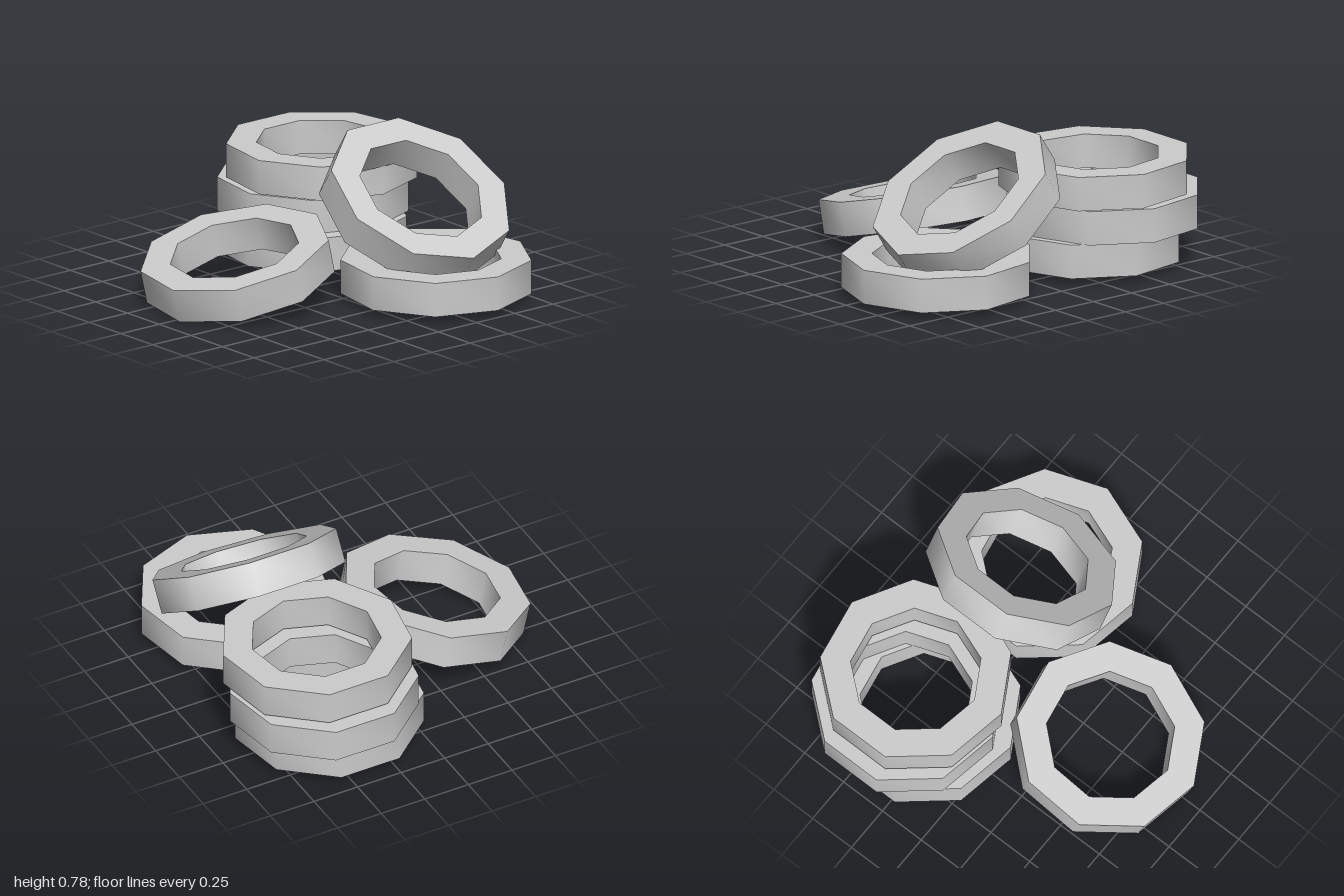
import * as THREE from 'three';
import { toCreasedNormals } from 'three/addons/utils/BufferGeometryUtils.js';

const SIDES = 9, OUTER = 0.489, INNER = 0.334, THICK = 0.177;

// Corners of a regular polygon with one corner on +x
function polygon(radius) {
  return Array.from({ length: SIDES }, (_, i) => {
    const a = (i / SIDES) * Math.PI * 2;
    return new THREE.Vector2(Math.cos(a) * radius, Math.sin(a) * radius);
  });
}

// Nine-sided ring lying flat, centred on its own origin, with smooth walls and sharp rims
function ringGeometry() {
  const shape = new THREE.Shape(polygon(OUTER));
  shape.holes.push(new THREE.Path(polygon(INNER)));
  const geometry = new THREE.ExtrudeGeometry(shape, { depth: THICK, bevelEnabled: false });
  geometry.translate(0, 0, -THICK / 2);
  geometry.rotateX(-Math.PI / 2);
  return toCreasedNormals(geometry, THREE.MathUtils.degToRad(50));
}

export function createModel() {
  const group = new THREE.Group();
  group.name = 'ringPile';
  const geometry = ringGeometry();
  const material = new THREE.MeshStandardMaterial({ color: 0xcccccc });

  // name, centre, tilt about x and z in degrees
  const rings = [
    ['stackBottomRing', [-0.475, 0.128, -0.39], 0, 0],
    ['stackMiddleRing', [-0.54, 0.305, -0.455], 0, 0],
    ['stackTopRing', [-0.47, 0.497, -0.455], 0, 0],
    ['flatRing', [0.511, 0.128, -0.39], 0, 0],
    ['leaningFrontRing', [-0.05, 0.2, 0.445], 13.3, 0],
    ['leaningUpperRing', [0.33, 0.457, -0.406], 0, -33.4],
  ];
  for (const [name, centre, tiltX, tiltZ] of rings) {
    const ring = new THREE.Mesh(geometry, material);
    ring.name = name;
    ring.position.set(...centre);
    ring.rotation.set(THREE.MathUtils.degToRad(tiltX), 0, THREE.MathUtils.degToRad(tiltZ));
    group.add(ring);
  }
  return group;
}
